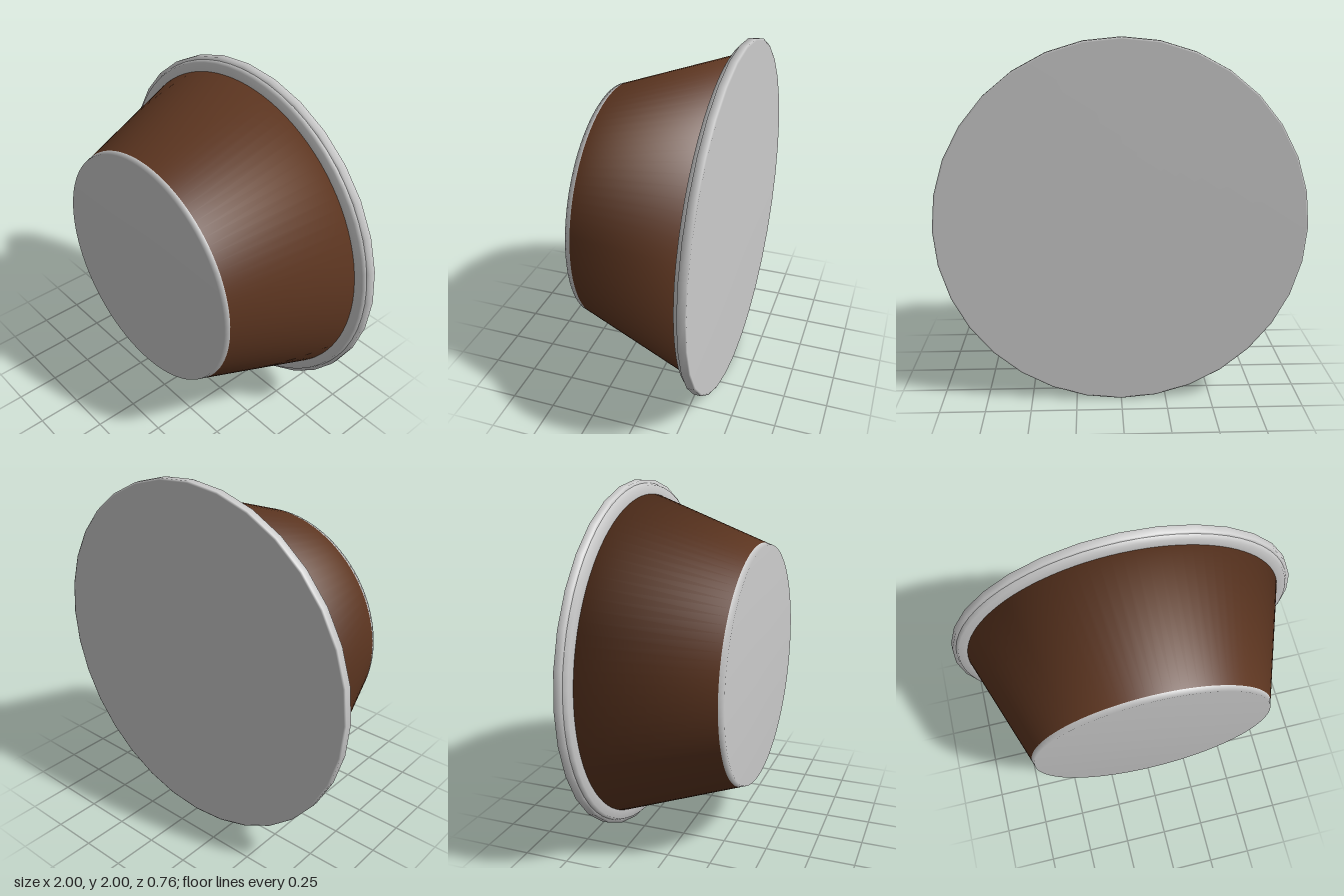
import * as THREE from 'three';

const grey = new THREE.MeshStandardMaterial({ color: 0xcccccc, side: THREE.DoubleSide });
const brown = new THREE.MeshStandardMaterial({ color: 0x5c3520, side: THREE.DoubleSide });

// Turned part about the z axis; profile is [radius, z] from back to front
function turned(name, profile, sides, material) {
  const geometry = new THREE.LatheGeometry(profile.map(([r, z]) => new THREE.Vector2(r, z)), sides);
  geometry.rotateX(Math.PI / 2);
  const mesh = new THREE.Mesh(geometry, material);
  mesh.name = name;
  mesh.position.y = 1;
  return mesh;
}

export function createModel() {
  const group = new THREE.Group();
  group.name = 'taperedCup';

  // Wide back lid with a stepped rim
  group.add(turned('lid', [[0, -0.38], [0.99, -0.38], [1, -0.375], [1, -0.335], [0.97, -0.335]], 32, grey));
  group.add(turned('rimFlange', [[0.98, -0.335], [0.97, -0.31], [0.91, -0.31]], 64, grey));

  // Tapered side wall with its turned-in back lip
  group.add(turned('wall', [[0.3, -0.31], [0.92, -0.31], [0.685, 0.35]], 96, brown));

  // Small flat base facing the front
  group.add(turned('base', [[0.685, 0.35], [0.675, 0.38], [0, 0.38]], 96, grey));

  return group;
}
